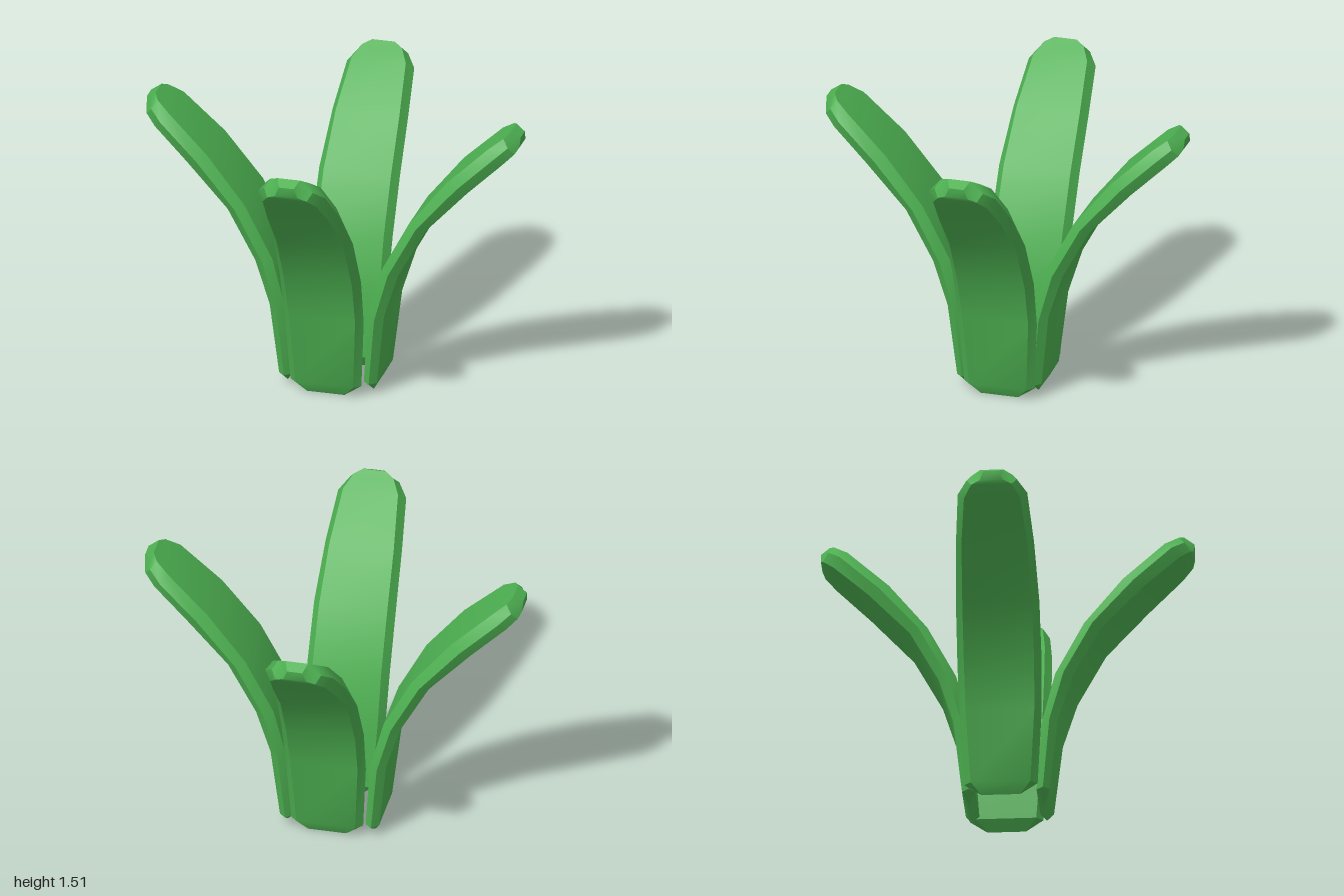
import * as THREE from 'three';
import { toCreasedNormals } from 'three/addons/utils/BufferGeometryUtils.js';

// Stations from base to tip:
// [inner r, inner y, outer r, outer y, half width at rim, half width of the flat faces]
const stations = [
  [0.230, 0.000, 0.230, 0.000, 0.10, 0.10], // base ridge
  [0.192, 0.060, 0.262, 0.060, 0.19, 0.155],
  [0.218, 0.420, 0.306, 0.450, 0.212, 0.178],
  [0.290, 0.705, 0.382, 0.690, 0.218, 0.182],
  [0.440, 0.990, 0.530, 0.960, 0.216, 0.180],
  [0.640, 1.240, 0.750, 1.195, 0.202, 0.170],
  [0.855, 1.445, 0.930, 1.365, 0.180, 0.145],
  [0.925, 1.495, 0.985, 1.415, 0.130, 0.105],
  [0.950, 1.515, 0.998, 1.435, 0.070, 0.060],
  [1.000, 1.485, 1.000, 1.485, 0.040, 0.040], // tip ridge
];

// Six-sided section: flat inner and outer faces meeting at a bevelled rim
function section([ir, iy, or, oy, w, f]) {
  const mr = (ir + or) / 2, my = (iy + oy) / 2;
  return [
    [ir, iy, -f], [ir, iy, f], [mr, my, w],
    [or, oy, f], [or, oy, -f], [mr, my, -w],
  ].map((p) => new THREE.Vector3(...p));
}

function leafGeometry() {
  const rings = stations.map(section);
  const positions = [];
  const addTriangle = (a, b, c) => {
    const area = b.clone().sub(a).cross(c.clone().sub(a)).length();
    if (area > 1e-7) for (const p of [a, b, c]) positions.push(p.x, p.y, p.z);
  };
  for (let i = 0; i < rings.length - 1; i++) {
    for (let j = 0; j < 6; j++) {
      const k = (j + 1) % 6;
      addTriangle(rings[i][j], rings[i][k], rings[i + 1][k]);
      addTriangle(rings[i][j], rings[i + 1][k], rings[i + 1][j]);
    }
  }
  const geometry = new THREE.BufferGeometry();
  geometry.setAttribute('position', new THREE.Float32BufferAttribute(positions, 3));
  return toCreasedNormals(geometry, 0.55);
}

export function createModel() {
  const model = new THREE.Group();
  model.name = 'leafCluster';
  const green = new THREE.MeshStandardMaterial({ color: 0x4caf50 });
  green.name = 'leafGreen';
  const geometry = leafGeometry();

  // Four leaves; the front and back pair sits slightly closer in
  const leaves = [
    ['leftLeaf', 0, 0, -0.022],
    ['backLeaf', Math.PI / 2, 0.008, 0.033],
    ['rightLeaf', Math.PI, 0, -0.022],
    ['frontLeaf', -Math.PI / 2, 0.005, -0.035],
  ];
  for (const [name, angle, x, z] of leaves) {
    const leaf = new THREE.Mesh(geometry, green);
    leaf.name = name;
    leaf.rotation.y = angle;
    leaf.position.set(x, 0, z);
    model.add(leaf);
  }
  return model;
}
